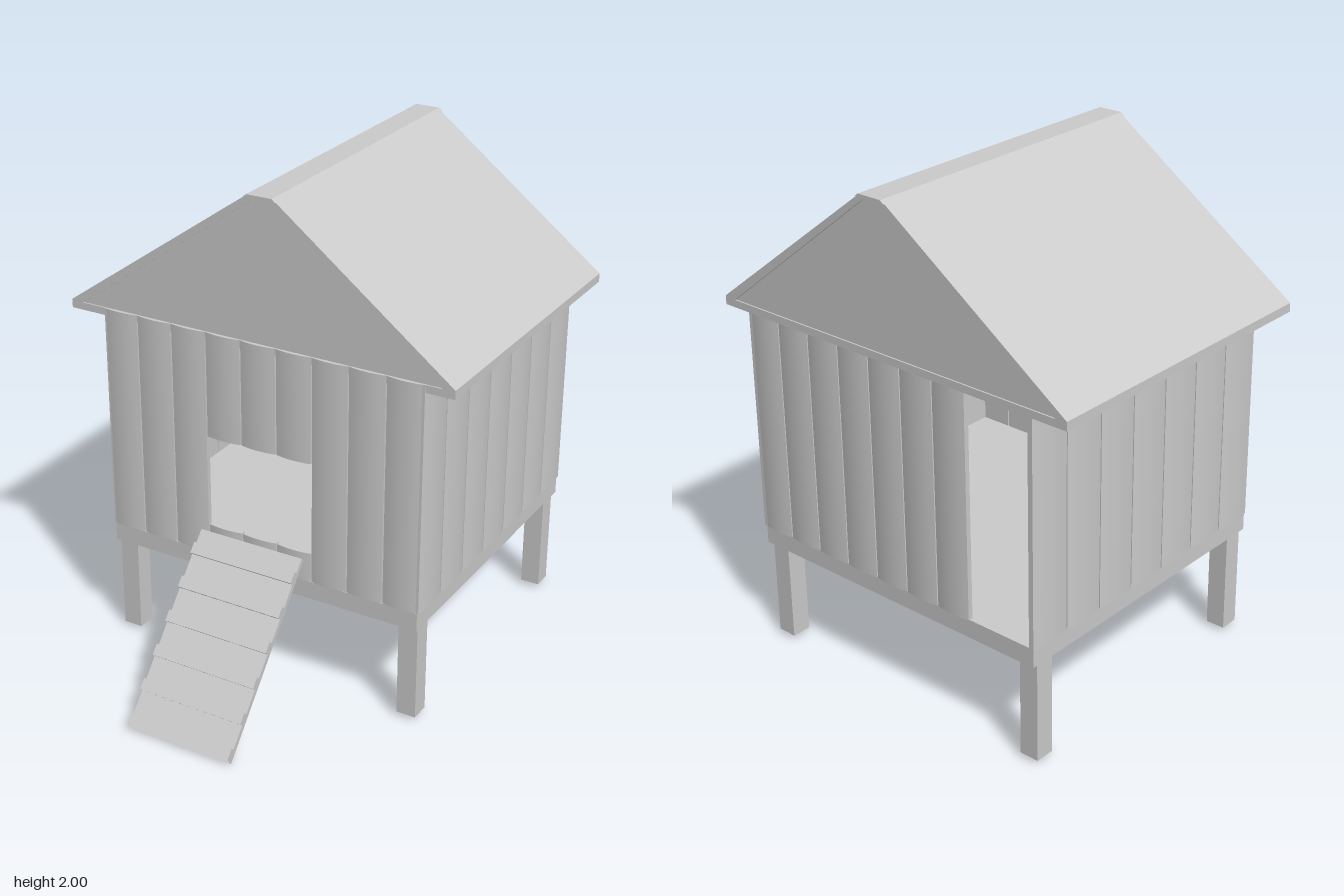
import * as THREE from 'three';
import { toCreasedNormals } from 'three/addons/utils/BufferGeometryUtils.js';

const material = new THREE.MeshStandardMaterial({ color: 0xcccccc });

function add(parent, name, geometry, x = 0, y = 0, z = 0) {
  const mesh = new THREE.Mesh(geometry, material);
  mesh.name = name;
  mesh.position.set(x, y, z);
  parent.add(mesh);
  return mesh;
}

// Box given by its limits
function addBox(parent, name, [x0, x1], [y0, y1], [z0, z1]) {
  return add(parent, name, new THREE.BoxGeometry(x1 - x0, y1 - y0, z1 - z0),
    (x0 + x1) / 2, (y0 + y1) / 2, (z0 + z1) / 2);
}

// Upright plank with a slightly bowed outer face, facing +z
function plankGeometry(width, height) {
  const w = width / 2;
  const section = new THREE.Shape();
  section.moveTo(-w, 0.02);
  section.lineTo(-w, 0);
  section.quadraticCurveTo(0, -0.016, w, 0);
  section.lineTo(w, 0.02);
  section.closePath();
  const geometry = new THREE.ExtrudeGeometry(section, { depth: height, bevelEnabled: false, curveSegments: 8 });
  geometry.rotateX(-Math.PI / 2);
  return toCreasedNormals(geometry, 0.6);
}

// Row of planks; spansFor(i) lists the vertical pieces of plank i
const FULL = [[0.5, 1.43]];
function addWall(parent, name, count, length, position, turn, spansFor = () => FULL) {
  const wall = new THREE.Group();
  wall.name = name;
  const step = length / count;
  for (let i = 0; i < count; i++) {
    for (const [y0, y1] of spansFor(i)) {
      add(wall, 'plank', plankGeometry(step - 0.005, y1 - y0), (i + 0.5) * step - length / 2, y0, 0);
    }
  }
  wall.position.set(...position);
  wall.rotation.y = turn;
  parent.add(wall);
}

function polygon(points) {
  return new THREE.Shape(points.map(([x, y]) => new THREE.Vector2(x, y)));
}

function extrude(shape, depth) {
  return new THREE.ExtrudeGeometry(shape, { depth, bevelEnabled: false });
}

export function createModel() {
  const coop = new THREE.Group();
  coop.name = 'henHouse';

  // Floor and legs
  addBox(coop, 'floor', [-0.66, 0.70], [0.425, 0.5], [-0.91, 0.36]);
  for (const x of [-0.66, 0.61]) {
    for (const z of [-0.89, 0.25]) {
      addBox(coop, 'leg', [x, x + 0.08], [0.02, 0.425], [z, z + 0.08]);
    }
  }

  // Walls: a hatch in the front, a doorway two planks wide at the back
  addWall(coop, 'frontWall', 9, 1.373, [0.017, 0, 0.357], 0,
    (i) => (i >= 3 && i <= 5 ? [[0.5, 0.62], [1.0, 1.43]] : FULL));
  addWall(coop, 'backWall', 9, 1.373, [0.017, 0, -0.914], Math.PI,
    (i) => (i >= 7 ? [] : FULL));
  addWall(coop, 'leftWall', 7, 1.28, [0.704, 0, -0.279], Math.PI / 2);
  addWall(coop, 'rightWall', 7, 1.28, [-0.666, 0, -0.279], -Math.PI / 2);

  // Roof shell with recessed gables and a ridge cap
  const gable = [[-0.77, 1.43], [0.77, 1.43], [0.07, 1.98], [0, 1.98]];
  const shell = polygon([[-0.82, 1.4], [0.82, 1.4], [0.82, 1.435], [0.095, 1.99], [-0.03, 1.99], [-0.82, 1.435]]);
  shell.holes.push(polygon(gable));
  add(coop, 'roof', extrude(shell, 1.28), 0, 0, -0.924);
  add(coop, 'gable', extrude(polygon(gable), 1.268), 0, 0, -0.918);
  const cap = polygon([[-0.034, 1.988], [0.1, 1.988], [0.085, 2], [-0.019, 2]]);
  add(coop, 'ridgeCap', extrude(cap, 1.292), 0, 0, -0.93);

  // Ramp with cleats
  const ramp = new THREE.Group();
  ramp.name = 'ramp';
  add(ramp, 'rampBoard', new THREE.BoxGeometry(0.45, 0.02, 0.8));
  for (let i = 0; i < 6; i++) {
    add(ramp, 'cleat', new THREE.BoxGeometry(0.45, 0.02, 0.045), 0, 0.018, -0.32 + i * 0.138);
  }
  ramp.position.set(0.008, 0.311, 0.66);
  ramp.rotation.x = 0.855;
  coop.add(ramp);

  return coop;
}
